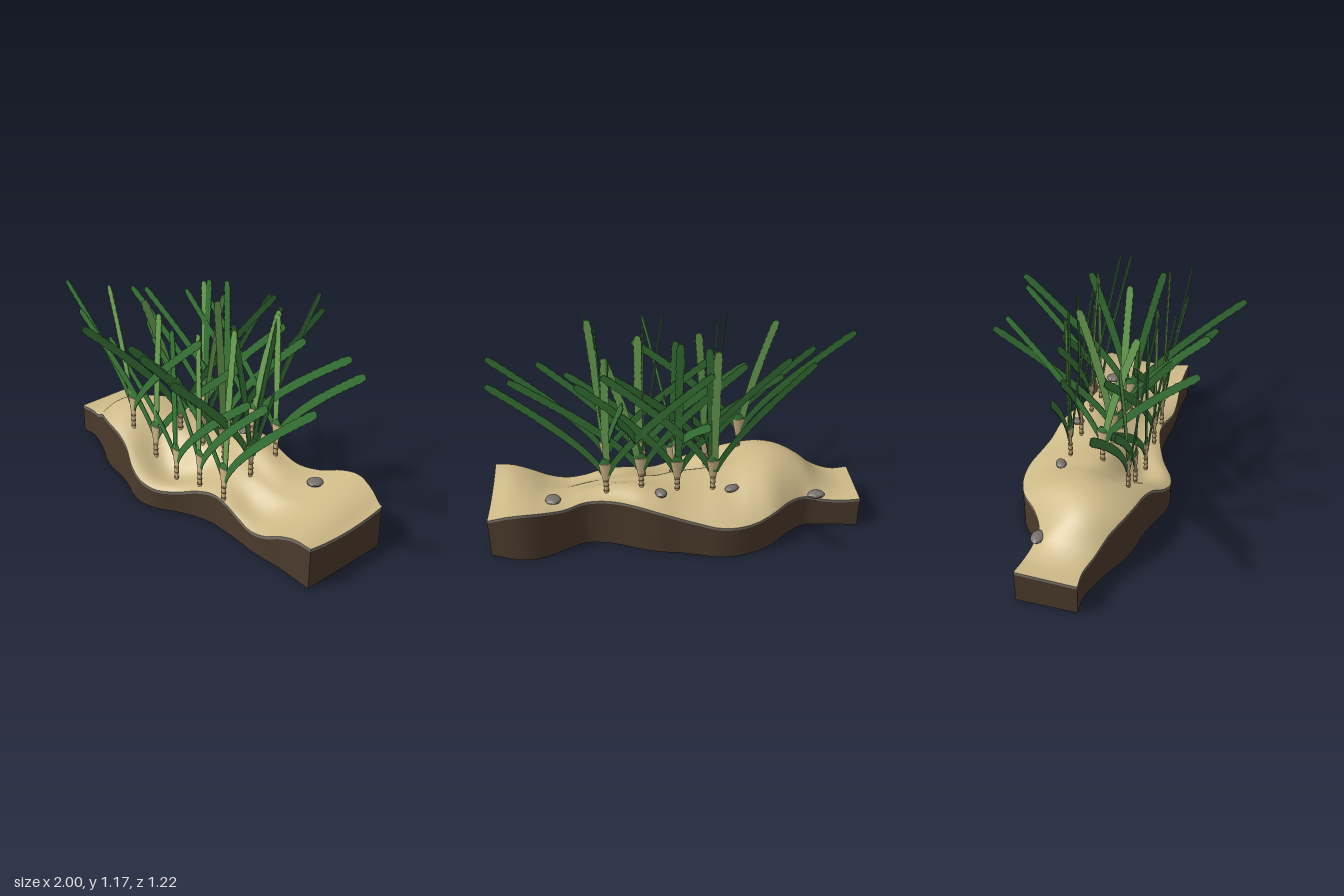
import * as THREE from 'three';

const mat = (name, color, extra = {}) => Object.assign(new THREE.MeshStandardMaterial({ color, ...extra }), { name });
const sand = mat('sand', 0xcdb988);
const soil = mat('dark soil', 0x4b3b2c);
const rim = mat('grey rim', 0x787268);
const stone = mat('stone', 0x77716c, { flatShading: true });
const sheathTan = mat('sheath tan', 0xd4ba8a);
const ringBrown = mat('ring brown', 0x927048);
const darkGreen = mat('dark green', 0x3a7a3a);
const lightGreen = mat('light green', 0x70a957);

// Bed outline and heights, sampled every 0.1 from x = -1 to 1
const FRONT_Z = [.115, .11, .14, .18, .23, .26, .275, .3, .34, .355, .33, .27, .225, .2, .2, .205, .215, .215, .21, .215, .22];
const BACK_Z = [-.2, -.19, -.18, -.18, -.24, -.33, -.38, -.405, -.405, -.38, -.355, -.34, -.31, -.27, -.24, -.235, -.28, -.33, -.35, -.33, -.295];
const FRONT_Y = [.17, .17, .19, .245, .28, .285, .27, .235, .175, .135, .115, .125, .16, .18, .17, .135, .115, .135, .185, .22, .225];
const MID_Y = [.175, .18, .22, .3, .345, .36, .345, .315, .3, .285, .28, .275, .275, .265, .25, .23, .215, .22, .24, .24, .205];
const BACK_Y = [.18, .17, .175, .2, .22, .22, .2, .195, .2, .215, .235, .265, .285, .29, .285, .275, .27, .295, .305, .28, .235];

function sample(list, x) {
  const f = THREE.MathUtils.clamp((x + 1) * 10, 0, 20);
  const i = Math.min(19, Math.floor(f)), t = f - i;
  const p = k => list[THREE.MathUtils.clamp(i + k, 0, 20)];
  const a = p(-1), b = p(0), c = p(1), d = p(2);
  return b + 0.5 * t * (c - a + t * (2 * a - 5 * b + 4 * c - d + t * (3 * (b - c) + d - a)));
}

const bump = (x, centre, width) => Math.exp(-(((x - centre) / width) ** 2));

// Sand surface: t runs from the front edge (0) to the back edge (1)
function surface(x, t) {
  const z = THREE.MathUtils.lerp(sample(FRONT_Z, x), sample(BACK_Z, x), t);
  // hollow in the front half, ridge in the back half
  const wave = t < 0.5 ? -0.095 * bump(x, -0.07, 0.22) - 0.025 * bump(x, 0.5, 0.2) : 0.035 * bump(x, 0.26, 0.22);
  const y = sample(FRONT_Y, x) * (1 - t) * (1 - 2 * t) + sample(MID_Y, x) * 4 * t * (1 - t)
    + sample(BACK_Y, x) * t * (2 * t - 1) + wave * Math.sin(2 * Math.PI * t) ** 2;
  return new THREE.Vector3(x, y, z);
}
function heightAt(x, z) {
  const f = sample(FRONT_Z, x), b = sample(BACK_Z, x);
  return surface(x, (z - f) / (b - f)).y;
}

// Surface sheet from a function of u and v; it faces du x dv
function sheet(nu, nv, fn) {
  const pos = [], idx = [];
  for (let j = 0; j <= nv; j++) for (let i = 0; i <= nu; i++) pos.push(...fn(i / nu, j / nv).toArray());
  for (let j = 0; j < nv; j++) for (let i = 0; i < nu; i++) {
    const a = j * (nu + 1) + i, d = a + nu + 1;
    idx.push(a, a + 1, d + 1, a, d + 1, d);
  }
  const g = new THREE.BufferGeometry();
  g.setAttribute('position', new THREE.Float32BufferAttribute(pos, 3));
  g.setIndex(idx);
  g.computeVertexNormals();
  return g;
}

function add(parent, name, geometry, material) {
  const mesh = new THREE.Mesh(geometry, material);
  mesh.name = name;
  parent.add(mesh);
  return mesh;
}

function makeBed() {
  const bed = new THREE.Group();
  bed.name = 'seabed';
  add(bed, 'sandTop', sheet(100, 32, (u, v) => surface(2 * u - 1, v)), sand);
  add(bed, 'underside', sheet(100, 1, (u, v) => surface(2 * u - 1, 1 - v).setY(0)), soil);
  const edges = {
    front: u => surface(2 * u - 1, 0), right: u => surface(1, u),
    back: u => surface(1 - 2 * u, 1), left: u => surface(-1, 1 - u),
  };
  for (const [side, edge] of Object.entries(edges)) {
    const wall = (low, high) => sheet(100, 1, (u, v) => {
      const p = edge(u);
      return p.setY(v ? high(p.y) : low(p.y));
    });
    add(bed, side + 'Wall', wall(() => 0, y => y - 0.016), soil);
    add(bed, side + 'Rim', wall(y => y - 0.016, y => y), rim);
  }
  return bed;
}

// Strap leaf in the local xy plane, bending out to (dx, dy), toothed towards its blunt tip
function bladeGeometry(dx, dy) {
  const curve = new THREE.QuadraticBezierCurve3(
    new THREE.Vector3(Math.sign(dx) * 0.01, -0.07, 0), new THREE.Vector3(dx * 0.15, dy * 0.24, 0), new THREE.Vector3(dx, dy, 0));
  const n = 48, left = [], right = [];
  for (let i = 0; i <= n; i++) {
    const t = i / n, p = curve.getPoint(t), d = curve.getTangent(t);
    let w = 0.015 + 0.007 * Math.min(1, t * 1.6);
    if (t > 0.7 && i % 2) w -= 0.0035;
    if (i === n) w = 0.016;
    left.push(new THREE.Vector2(p.x - d.y * w, p.y + d.x * w));
    right.push(new THREE.Vector2(p.x + d.y * w, p.y - d.x * w));
  }
  const end = curve.getPoint(1).addScaledVector(curve.getTangent(1), 0.008);
  const shape = new THREE.Shape([...right, new THREE.Vector2(end.x, end.y), ...left.reverse()]);
  return new THREE.ExtrudeGeometry(shape, { depth: 0.004, bevelEnabled: false }).translate(0, 0, -0.002);
}

// Plant: position, yaw of its fan, blades as [reach, tip height, light?, extra yaw]
function makePlant([x, z, yaw, blades]) {
  const plant = new THREE.Group();
  plant.name = 'grassPlant';
  const base = heightAt(x, z) - 0.02, top = 0.205;
  plant.position.set(x, base, z);
  plant.rotation.y = yaw;
  const tube = (name, r1, r0, y0, y1, m, flat) => {
    const g = new THREE.CylinderGeometry(r1, r0, y1 - y0, 14).translate(0, (y0 + y1) / 2, 0).scale(1, 1, flat);
    return add(plant, name, g, m);
  };
  tube('stem', 0.014, 0.01, -0.03, 0.1, sheathTan, 0.8);
  tube('sheath', 0.036, 0.015, 0.09, top, sheathTan, 0.36);
  tube('leafBase', 0.016, 0.032, top, top + 0.03, darkGreen, 0.26);
  for (const y of [0.03, 0.06, 0.09]) tube('stemRing', 0.016, 0.015, y, y + 0.005, ringBrown, 0.8);
  blades.forEach(([reach, tip, light, twist = 0], i) => {
    const blade = add(plant, 'blade', bladeGeometry(reach, tip - base - top), light ? lightGreen : darkGreen);
    blade.position.set(0, top, (i - (blades.length - 1) / 2) * 0.005);
    blade.rotation.y = twist;
  });
  return plant;
}

const Q = -Math.PI / 2; // turns a fan so its reach runs along +z
const PLANTS = [
  // front row
  [-.375, .19, 0.0, [[-.6, 1.0], [-.175, 1.08, 1], [.58, .99]]],
  [-.19, .18, 0.1, [[-.59, .89], [.05, 1.03, 1], [.55, .87, 0, .14]]],
  [0, .19, -0.03, [[-.6, .76], [-.02, .98], [.57, .8]]],
  [.19, .19, -0.1, [[-.58, .9, 0, -.1], [-.01, 1.02, 1], [.53, .85]]],
  [.375, .19, -0.03, [[-.58, .88], [.065, 1.12, 1], [.6, .91]]],
  // middle row, fans turned front to back
  [-.19, 0, Q - 0.26, [[-.58, .985], [.2, 1.08, 1], [.53, .985]]],
  [0, 0, Q + 0.2, [[-.61, .96], [-.17, 1.08, 1], [.53, .98, 0, .08]]],
  [.17, 0, Q - 0.22, [[-.59, 1.0], [.05, 1.15, 1], [.51, .99, 0, -.05]]],
  [.375, 0, Q + 0.18, [[-.58, 1.08], [-.22, 1.11], [.17, 1.13], [.61, .99]]],
  // back row
  [-.19, -.18, 0.07, [[-.53, .97, 0, .13], [-.01, 1.11, 1], [.035, 1.13], [.56, 1.02]]],
  [0, -.18, 0.1, [[-.59, 1.0, 0, .08], [-.015, 1.16], [.5, .98]]],
  [.19, -.18, 0.02, [[-.53, 1.03], [.17, 1.1, 1], [.63, 1.0]]],
  [.375, -.18, -0.04, [[-.55, 1.0], [-.02, 1.08, 1], [.56, .96]]],
];

// Stones: x, z, half width, half depth, yaw
const STONES = [
  [-.76, -.165, .05, .035, 0], [-.29, -.2, .042, .028, .5],
  [.09, -.23, .03, .038, .3], [.66, -.18, .042, .046, .2],
];

export function createModel() {
  const model = new THREE.Group();
  model.name = 'seagrassPatch';
  model.add(makeBed());
  for (const p of PLANTS) model.add(makePlant(p));
  for (const [x, z, w, d, yaw] of STONES) {
    const s = add(model, 'pebble', new THREE.IcosahedronGeometry(1, 1), stone);
    s.scale.set(w, 0.016, d);
    s.position.set(x, heightAt(x, z) + 0.01, z);
    s.rotation.y = yaw;
  }
  return model;
}
